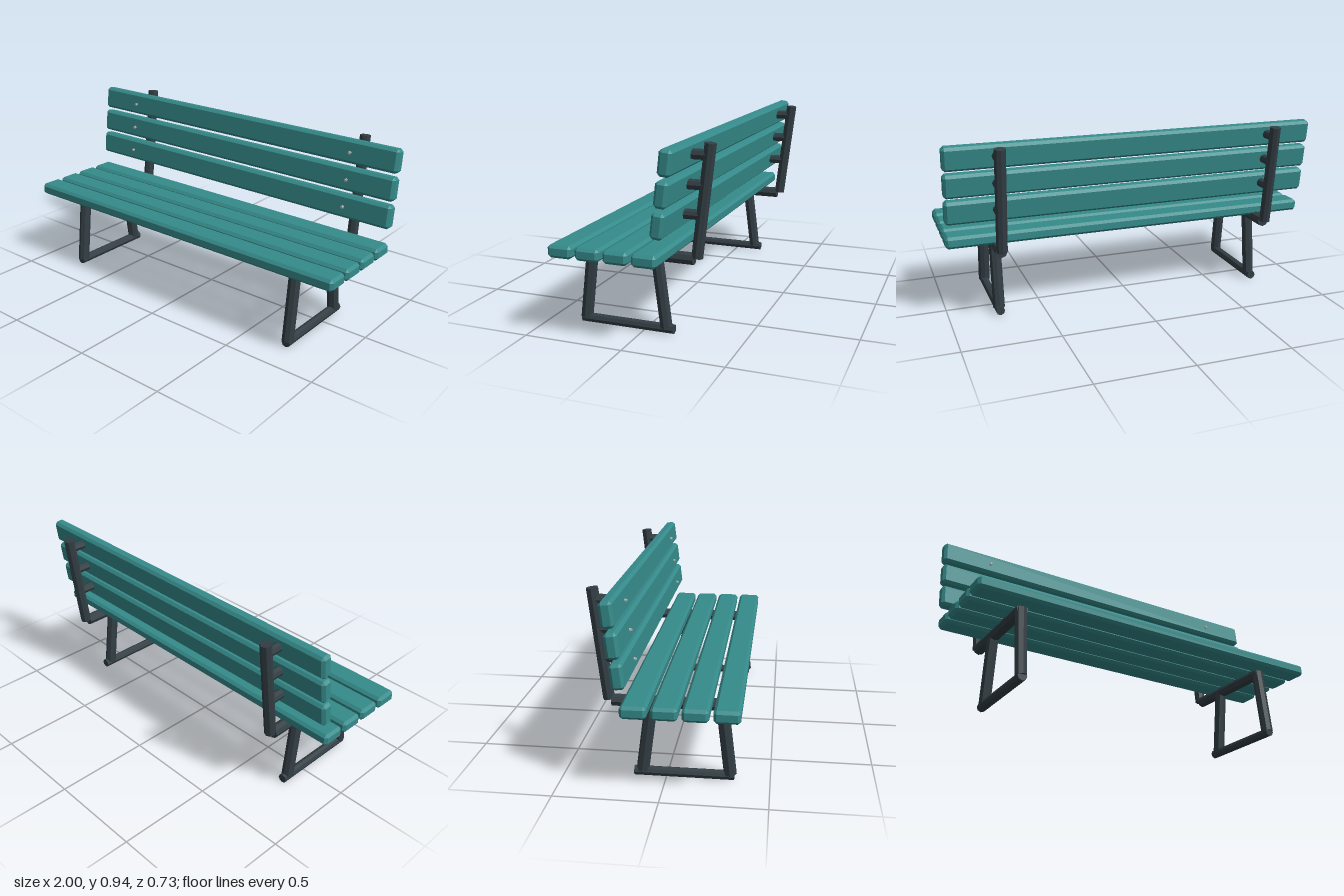
import * as THREE from 'three';
import { ConvexGeometry } from 'three/addons/geometries/ConvexGeometry.js';

const material = (name, color) => {
  const m = new THREE.MeshStandardMaterial({ color, flatShading: true });
  m.name = name;
  return m;
};

// Box with all edges and corners cut flat
function chamferedBox(w, h, d, c) {
  const points = [];
  for (const sx of [-1, 1]) for (const sy of [-1, 1]) for (const sz of [-1, 1]) {
    const x = w / 2, y = h / 2, z = d / 2;
    points.push(
      new THREE.Vector3(sx * x, sy * (y - c), sz * (z - c)),
      new THREE.Vector3(sx * (x - c), sy * y, sz * (z - c)),
      new THREE.Vector3(sx * (x - c), sy * (y - c), sz * z));
  }
  return new ConvexGeometry(points);
}

// Straight bar in the side plane, from [z, y] to [z, y]
function bar(name, from, to, radius, mat, sides = 8) {
  const a = new THREE.Vector3(0, from[1], from[0]);
  const b = new THREE.Vector3(0, to[1], to[0]);
  const dir = b.clone().sub(a);
  const mesh = new THREE.Mesh(new THREE.CylinderGeometry(radius, radius, dir.length(), sides), mat);
  mesh.name = name;
  mesh.position.copy(a).add(b).multiplyScalar(0.5);
  mesh.quaternion.setFromUnitVectors(new THREE.Vector3(0, 1, 0), dir.normalize());
  return mesh;
}

export function createModel() {
  const paint = material('teal paint', 0x368b8b);
  const iron = material('dark iron', 0x323e44);
  const steel = material('bolt steel', 0xb4b4b4);

  const bench = new THREE.Group();
  bench.name = 'bench';
  const lean = Math.atan2(0.064, 0.54);

  // Seat slats
  const slatGeometry = chamferedBox(2, 0.062, 0.122, 0.014);
  for (let i = 0; i < 4; i++) {
    const slat = new THREE.Mesh(slatGeometry, paint);
    slat.name = 'seatSlat';
    slat.position.set(0, 0.431, 0.306 - i * 0.14);
    bench.add(slat);
  }

  // Backrest slats, leaning with the posts
  const backRows = [[-0.18, 0.597], [-0.199, 0.737], [-0.218, 0.877]];
  for (const [z, y] of backRows) {
    const slat = new THREE.Mesh(slatGeometry, paint);
    slat.name = 'backSlat';
    slat.position.set(0, y, z);
    slat.rotation.x = Math.PI / 2 - lean;
    bench.add(slat);
  }

  // Iron frames on both sides
  for (const side of [1, -1]) {
    const frame = new THREE.Group();
    frame.name = side > 0 ? 'leftFrame' : 'rightFrame';
    frame.position.x = side * 0.738;
    frame.add(
      bar('footRail', [0.328, 0.024], [-0.156, 0.024], 0.024, iron),
      bar('frontLeg', [0.309, 0.03], [0.265, 0.395], 0.031, iron),
      bar('rearLeg', [-0.116, 0.03], [-0.07, 0.385], 0.031, iron),
      bar('seatRail', [0.285, 0.387], [-0.258, 0.387], 0.031, iron),
      bar('backPost', [-0.273, 0.394], [-0.337, 0.933], 0.029, iron));
    // Brackets and bolts holding each backrest slat
    for (const [z, y] of backRows) {
      frame.add(
        bar('bracket', [z - 0.02, y + 0.002], [-0.312 - (y - 0.6) * 0.06, y + 0.002], 0.025, iron),
        bar('boltWasher', [z + 0.02, y], [z + 0.037, y], 0.009, steel),
        bar('boltHead', [z + 0.03, y], [z + 0.044, y], 0.007, steel, 6));
    }
    bench.add(frame);
  }
  return bench;
}
